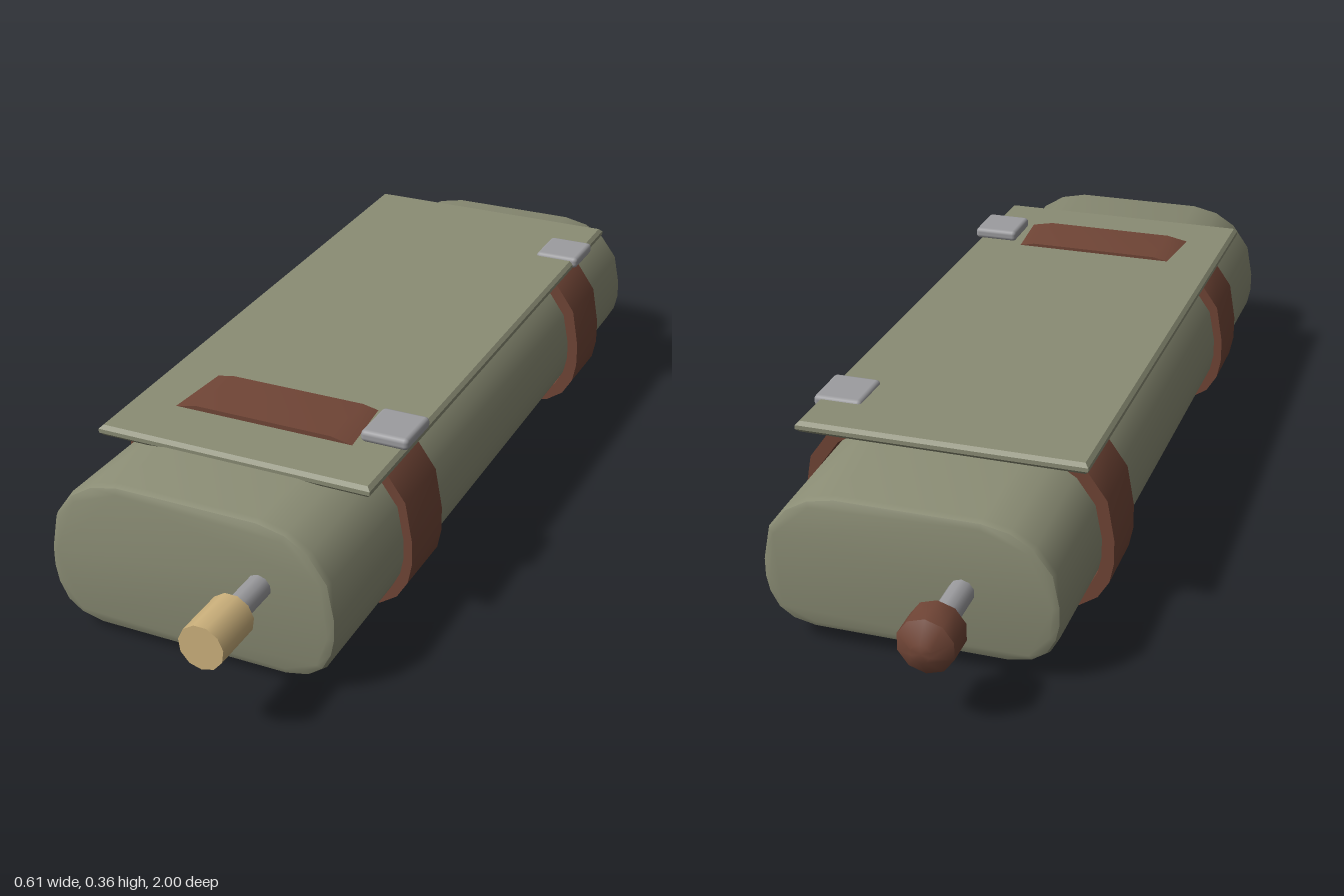
import * as THREE from 'three';
import { toCreasedNormals } from 'three/addons/utils/BufferGeometryUtils.js';
import { RoundedBoxGeometry } from 'three/addons/geometries/RoundedBoxGeometry.js';

const mat = (color) => new THREE.MeshStandardMaterial({ color });

// Right half of each outline, from bottom to top
const bodyHalf = [[0.19, 0.018], [0.235, 0.028], [0.265, 0.05], [0.283, 0.085], [0.29, 0.12],
  [0.29, 0.16], [0.277, 0.23], [0.24, 0.282], [0.195, 0.31], [0.14, 0.322]];
const strapHalf = [[0.2, 0], [0.24, 0.01], [0.275, 0.034], [0.297, 0.07], [0.305, 0.11],
  [0.305, 0.16], [0.291, 0.24], [0.252, 0.295], [0.19, 0.335], [0.14, 0.345]];

// Mirror a half outline into a closed loop, optionally shrunk about its middle
function loop(half, s = 1) {
  const right = half.map(([x, y]) => new THREE.Vector2(x * s, 0.17 + (y - 0.17) * s));
  const left = right.map((p) => new THREE.Vector2(-p.x, p.y)).reverse();
  return [...right, ...left];
}

export function createModel() {
  const group = new THREE.Group();
  const olive = mat(0x8a8c74), leather = mat(0x704536), brass = mat(0xccb17c), steel = mat(0x9c9c9f);

  function add(name, geometry, material, x = 0, y = 0, z = 0) {
    const mesh = new THREE.Mesh(geometry, material);
    mesh.name = name;
    mesh.position.set(x, y, z);
    group.add(mesh);
    return mesh;
  }

  // Case body: bevelled extrusion, slightly smaller towards the back
  const bevel = 0.016;
  const body = new THREE.ExtrudeGeometry(new THREE.Shape(loop(bodyHalf)), {
    depth: 1.6 - 2 * bevel, bevelThickness: bevel, bevelSize: bevel, bevelOffset: -bevel, bevelSegments: 2,
  });
  body.translate(0, 0, -0.8 + bevel);
  const pos = body.attributes.position;
  for (let i = 0; i < pos.count; i++) {
    const t = (0.8 - pos.getZ(i)) / 1.6;
    pos.setX(i, pos.getX(i) * (1 - 0.035 * t));
    pos.setY(i, 0.17 + (pos.getY(i) - 0.17) * (1 - 0.1 * t));
  }
  add('caseBody', toCreasedNormals(body, 0.7), olive);

  // Straps with a buckle each
  for (const [side, z] of [['front', 0.44], ['back', -0.48]]) {
    const ring = new THREE.Shape(loop(strapHalf));
    ring.holes.push(new THREE.Path(loop(bodyHalf, 0.97).reverse()));
    const strap = new THREE.ExtrudeGeometry(ring, { depth: 0.14, bevelEnabled: false });
    strap.translate(0, 0, -0.07);
    add(side + 'Strap', toCreasedNormals(strap, 0.6), leather, 0, 0, z);
    add(side + 'Buckle', new RoundedBoxGeometry(0.096, 0.024, 0.105, 2, 0.009), steel,
      0.239, 0.348, z);
  }

  // Cover plate, rising towards the back
  const plateBevel = 0.007;
  const outline = new THREE.Shape([[-0.278, -0.635], [0.278, -0.635], [0.278, 0.635], [-0.278, 0.635]]
    .map(([x, y]) => new THREE.Vector2(x, y)));
  const plate = new THREE.ExtrudeGeometry(outline, {
    depth: 0.008, bevelThickness: plateBevel, bevelSize: plateBevel, bevelOffset: -plateBevel, bevelSegments: 1,
  });
  plate.translate(0, 0, -0.004);
  plate.rotateX(-Math.PI / 2 + 0.0175);
  add('coverPlate', toCreasedNormals(plate, 0.4), olive, 0, 0.334, 0);

  // Rods with a brass cap in front and a pointed knob at the back
  const rod = (name, x, y, z) => add(name,
    new THREE.CylinderGeometry(0.024, 0.024, 0.16, 10).rotateX(Math.PI / 2), steel, x, y, z);
  rod('frontRod', 0.143, 0.193, 0.84);
  rod('backRod', -0.1, 0.165, -0.86);
  add('frontCap', new THREE.CylinderGeometry(0.043, 0.043, 0.105, 11).rotateX(Math.PI / 2),
    brass, 0.143, 0.193, 0.9475);

  const profile = [[0, 0], [0.048, 0], [0.053, 0.006], [0.053, 0.066], [0.018, 0.09], [0, 0.09]]
    .map(([r, h]) => new THREE.Vector2(r, h));
  const knob = new THREE.LatheGeometry(profile, 10).rotateX(-Math.PI / 2);
  add('backKnob', toCreasedNormals(knob, 0.65), leather, -0.1, 0.165, -0.91);

  return group;
}
